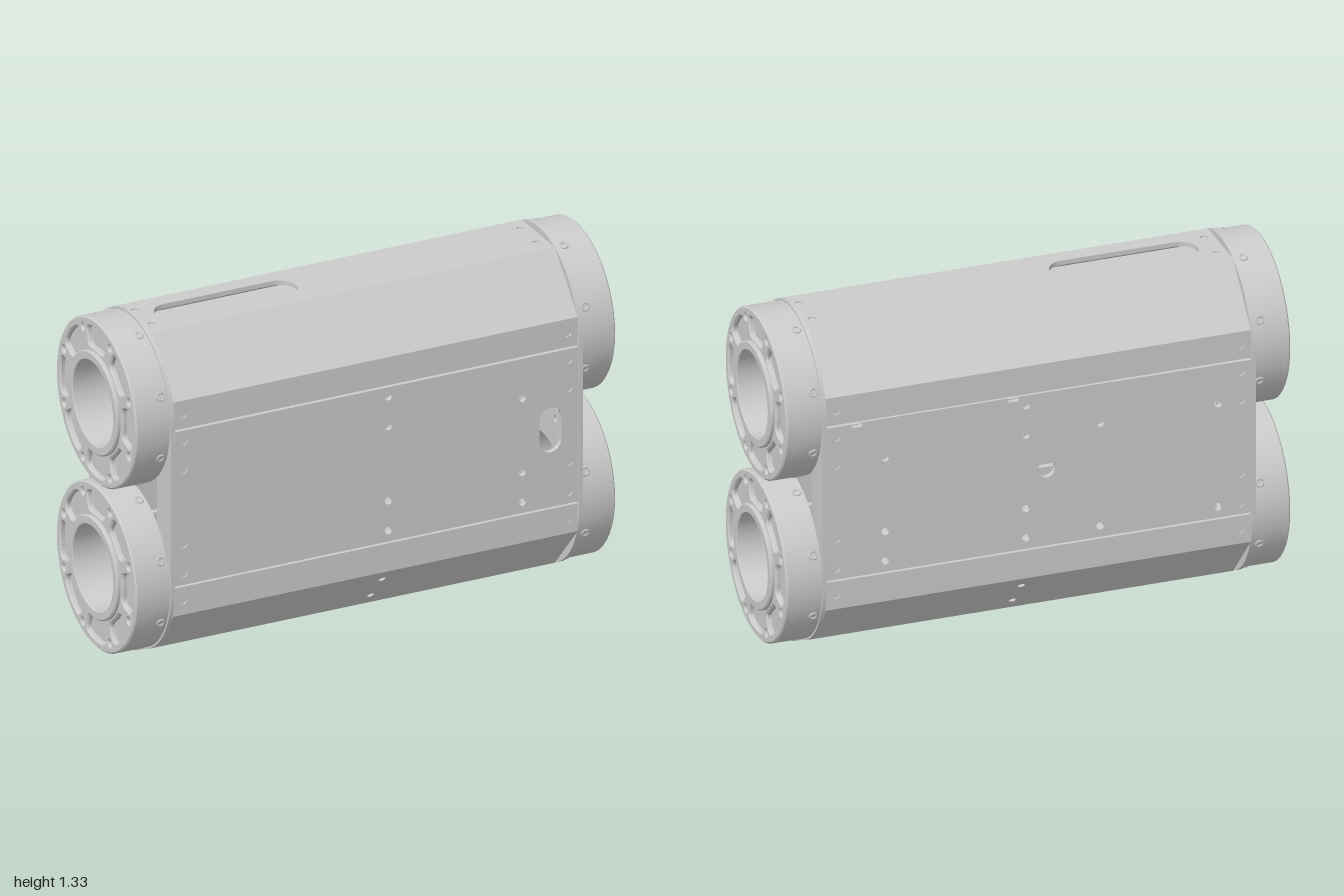
import * as THREE from 'three';
import { toCreasedNormals } from 'three/addons/utils/BufferGeometryUtils.js';

const material = new THREE.MeshStandardMaterial({ color: 0xcccccc, side: THREE.DoubleSide });
const AXES = [0.335, 1.0];          // heights of the two bores
const MID = 0.6675;
const HALF = 0.83;                  // half length of the body

function add(parent, name, geometry) {
  const mesh = new THREE.Mesh(geometry, material);
  mesh.name = name;
  parent.add(mesh);
  return mesh;
}

const circle = (x, y, r) => new THREE.Path().absarc(x, y, r, 0, Math.PI * 2, true);

// Rounded slot with half sizes w and h, around x, y
function slot(x, y, w, h) {
  const r = Math.min(w, h), dx = w - r, dy = h - r, p = new THREE.Path();
  [[1, 1], [-1, 1], [-1, -1], [1, -1]].forEach(([sx, sy], i) =>
    p.absarc(x + sx * dx, y + sy * dy, r, i * Math.PI / 2, (i + 1) * Math.PI / 2, false));
  p.closePath();
  return p;
}

function extrude(shape, depth, bevel = 0, curveSegments = 24) {
  return toCreasedNormals(new THREE.ExtrudeGeometry(shape, {
    depth, curveSegments, bevelEnabled: bevel > 0, bevelSize: bevel,
    bevelThickness: bevel, bevelOffset: -bevel, bevelSegments: 1,
  }), 0.5);
}

// Flat plate along x, between two (z, y) points of the cross-section.
// Holes are in plate coordinates, measured from its middle; screws are filled holes.
function plate(parent, name, a, b, half, thick, holes = [], screws = []) {
  const length = Math.hypot(b[0] - a[0], b[1] - a[1]), h = length / 2;
  const shape = new THREE.Shape([[-half, -h], [half, -h], [half, h], [-half, h]]
    .map(p => new THREE.Vector2(...p)));
  shape.holes.push(...holes, ...screws.map(([x, y]) => circle(x, y, 0.015)));
  const group = new THREE.Group();
  group.name = name;
  add(group, name + 'Sheet', extrude(shape, thick, 0, 10).translate(0, 0, -thick));
  for (const [x, y] of screws) {
    add(group, 'screw', new THREE.CylinderGeometry(0.014, 0.014, thick, 16)
      .rotateX(Math.PI / 2).translate(x, y, -thick / 2 - 0.004));
  }
  const u = new THREE.Vector3(1, 0, 0);
  const v = new THREE.Vector3(0, b[1] - a[1], b[0] - a[0]).normalize();
  group.applyMatrix4(new THREE.Matrix4()
    .makeBasis(u, v, u.clone().cross(v))
    .setPosition(0, (a[1] + b[1]) / 2, (a[0] + b[0]) / 2));
  parent.add(group);
  return group;
}

// Folded cover: half an octagon, the lower one turned half round
function cover(parent, name, lower) {
  const profile = [[0.322, 0.987], [0.322, 1.1], [0.135, 1.305],
    [-0.135, 1.305], [-0.322, 1.1], [-0.322, 0.987]]
    .map(([z, y]) => lower ? [-z, 2 * MID - y] : [z, y]);
  const group = new THREE.Group();
  group.name = name;
  const ends = v => [[-0.79, v], [0.79, v]];
  const bevelHoles = lower ? [circle(0.05, 0.07, 0.014), circle(0.05, -0.07, 0.014)] : [];
  const parts = [
    ['coverSide', [], ends(0)],
    ['coverSlope', bevelHoles, []],
    ['coverFlat', [slot(-0.4525, 0, 0.2875, 0.0675)], [...ends(0.068), ...ends(-0.068)]],
    ['coverSlope', bevelHoles, []],
    ['coverSide', [], ends(0)],
  ];
  parts.forEach(([part, holes, screws], i) => {
    const made = plate(group, part, profile[i], profile[i + 1], HALF, 0.018, holes, screws);
    if (part === 'coverFlat') { // recessed floor below the long slot
      add(made, 'slotFloor', new THREE.BoxGeometry(0.66, 0.18, 0.008))
        .position.set(-0.4525, 0, -0.038);
    }
  });
  parent.add(group);
}

// Flat panel on the front or the back, with its bolt pattern
function sidePanel(parent, name, front) {
  const rows = [0.82, 0.52, 0.4];
  const sign = front ? 1 : -1;                 // plate v runs down on the back
  const v = y => sign * (y - MID);
  const at = (x, y) => circle(x, v(y), 0.015);
  const holes = [at(0.05, 0.94), ...rows.map(y => at(0.05, y)), ...rows.map(y => at(0.6, y))];
  if (front) holes.push(slot(0.715, 0, 0.045, 0.09));
  else {
    holes.push(circle(-0.03, 0, 0.034));
    for (const x of [-0.24, -0.7]) holes.push(at(x, 0.82), at(x, 0.4));
    for (const x of [0.1, 0.71]) holes.push(slot(x, v(0.973), 0.022, 0.009));
  }
  const screws = [-0.79, 0.79].flatMap(x => [0.935, 0.82, 0.52, 0.4].map(y => [x, v(y)]));
  const z = 0.327 * sign, low = [z, 0.358], high = [z, 0.981];
  plate(parent, name, front ? low : high, front ? high : low, HALF, 0.02, holes, screws);
}

// Eight bolt positions around a bore
const bolts = r => Array.from({ length: 8 }, (_, i) => {
  const a = (i + 0.5) * Math.PI / 4;
  return [r * Math.cos(a), r * Math.sin(a), a];
});

function disc() {
  const shape = new THREE.Shape().absarc(0, 0, 0.325, 0, Math.PI * 2, false);
  shape.holes.push(circle(0, 0, 0.165), ...bolts(0.285).map(([x, y]) => circle(x, y, 0.013)));
  return shape;
}

// Flanged ring, built facing +z
function endRing() {
  const group = new THREE.Group();
  group.name = 'endRing';
  add(group, 'ringBody', extrude(disc(), 0.119).translate(0, 0, 0.846));

  // Face with eight rounded pockets
  const face = disc();
  const power = c => Math.sign(c) * Math.abs(c) ** 0.45;
  for (let i = 0; i < 8; i++) {
    const points = [];
    for (let k = 0; k < 32; k++) {
      const t = k / 32 * Math.PI * 2;
      const r = 0.253 + 0.041 * power(Math.sin(t));
      const a = i * Math.PI / 4 + 0.28 * power(Math.cos(t));
      points.push(new THREE.Vector2(r * Math.cos(a), r * Math.sin(a)));
    }
    face.holes.push(new THREE.Path(points));
  }
  add(group, 'ringFace', extrude(face, 0.022, 0.006).translate(0, 0, 0.957));

  // Raised collar around the bore
  const collar = [[0.165, 0.96], [0.165, 0.997], [0.168, 1], [0.195, 1], [0.2, 0.995], [0.2, 0.96]];
  add(group, 'boreCollar', toCreasedNormals(
    new THREE.LatheGeometry(collar.map(p => new THREE.Vector2(...p)), 48).rotateX(Math.PI / 2), 0.5));

  // Bolt rims around the outside
  for (const [x, y, a] of bolts(0.324)) {
    const rim = add(group, 'rimBolt', new THREE.TorusGeometry(0.014, 0.005, 6, 16));
    rim.position.set(x, y, 0.872);
    rim.lookAt(x + Math.cos(a), y + Math.sin(a), 0.872);
  }
  return group;
}

// Thin end plate with a window between the bores, built facing +z
function endPlate() {
  const shape = new THREE.Shape();
  shape.absarc(0, AXES[1], 0.3325, 0, Math.PI, false);
  shape.absarc(0, AXES[0], 0.3325, Math.PI, Math.PI * 2, false);
  shape.closePath();
  shape.holes.push(slot(0, MID, 0.22, 0.22 + (AXES[1] - AXES[0]) / 2));
  for (const cy of AXES) {
    for (const [x, y] of bolts(0.285)) {
      const inside = Math.abs(x) < 0.2 && (cy > MID ? y < 0 : y > 0);
      if (!inside) shape.holes.push(circle(x, cy + y, 0.013));
    }
  }
  return extrude(shape, 0.016).translate(0, 0, HALF);
}

export function createModel() {
  const model = new THREE.Group();
  model.name = 'twinBoreHousing';
  cover(model, 'upperCover', false);
  cover(model, 'lowerCover', true);
  sidePanel(model, 'frontPanel', true);
  sidePanel(model, 'backPanel', false);

  // Both ends: plate and two rings
  for (const side of [1, -1]) {
    const end = new THREE.Group();
    end.name = side > 0 ? 'leftEnd' : 'rightEnd';
    add(end, 'endPlate', endPlate());
    for (const y of AXES) {
      const ring = endRing();
      ring.position.y = y;
      end.add(ring);
    }
    end.rotation.y = side * Math.PI / 2;
    model.add(end);
  }
  return model;
}
